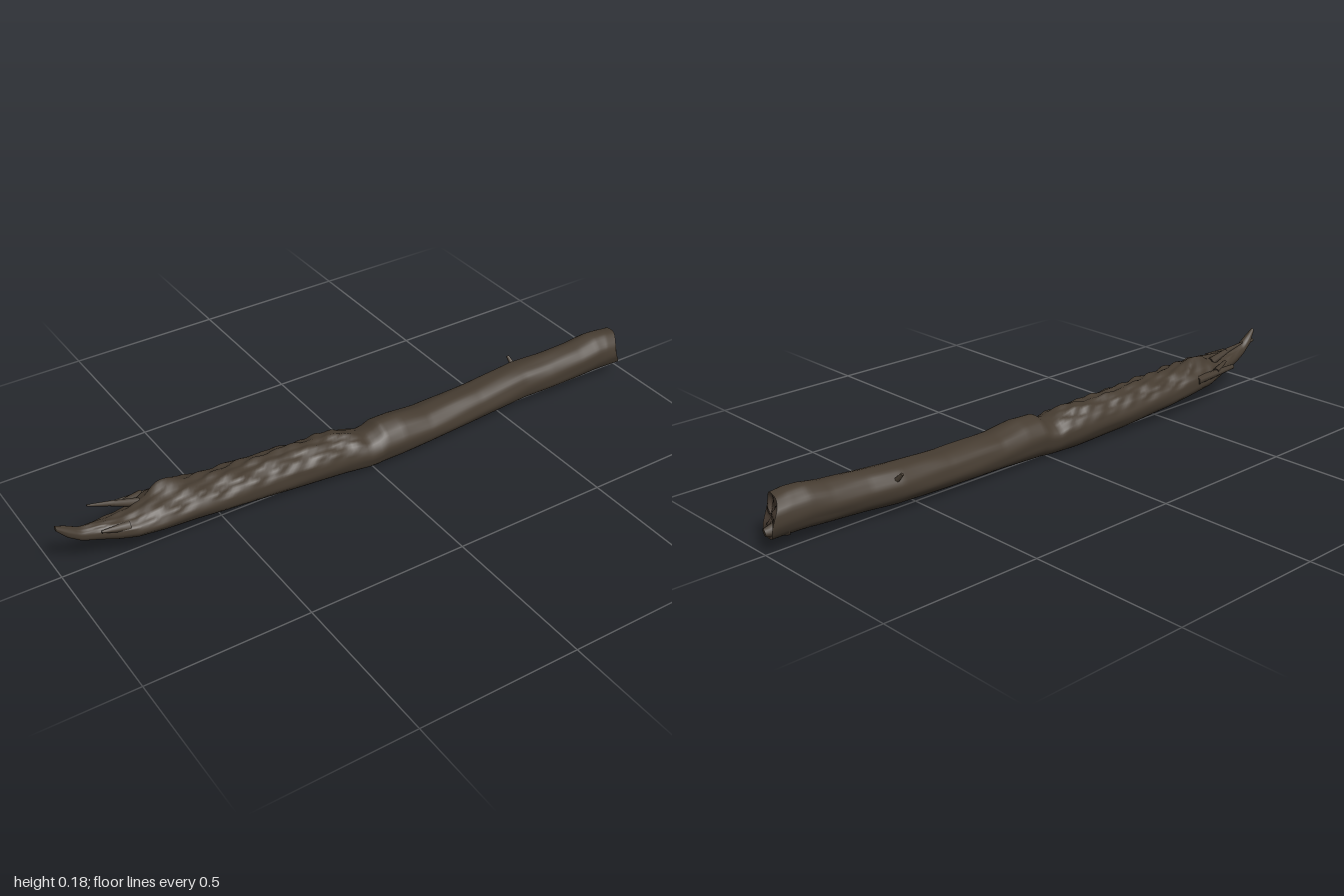
import * as THREE from 'three';

// Stations along the log: x, top y, bottom y, back z, front z
const stations = [
  [-1, 0.188, 0.172, 0.0, 0.014],
  [-0.97, 0.172, 0.135, -0.012, 0.018],
  [-0.93, 0.148, 0.106, -0.018, 0.02],
  [-0.88, 0.142, 0.088, -0.03, 0.025],
  [-0.83, 0.14, 0.076, -0.042, 0.045],
  [-0.78, 0.142, 0.067, -0.055, 0.06],
  [-0.7, 0.152, 0.055, -0.08, 0.065],
  [-0.6, 0.155, 0.043, -0.086, 0.062],
  [-0.5, 0.15, 0.031, -0.084, 0.06],
  [-0.3, 0.144, 0.014, -0.077, 0.06],
  [-0.1, 0.139, 0.004, -0.07, 0.07],
  [-0.05, 0.13, 0.003, -0.064, 0.076],
  [-0.02, 0.117, 0.003, -0.06, 0.079],
  [0.01, 0.124, 0.003, -0.056, 0.081],
  [0.03, 0.138, 0.004, -0.054, 0.082],
  [0.1, 0.139, 0.006, -0.054, 0.084],
  [0.2, 0.126, 0.011, -0.054, 0.081],
  [0.4, 0.13, 0.016, -0.057, 0.069],
  [0.58, 0.143, 0.024, -0.062, 0.062],
  [0.68, 0.147, 0.029, -0.05, 0.07],
  [0.8, 0.155, 0.034, -0.045, 0.074],
  [0.87, 0.166, 0.038, -0.042, 0.075],
  [0.95, 0.165, 0.038, -0.038, 0.077],
  [1, 0.16, 0.037, -0.036, 0.078],
];
const SIDES = 44;
const { lerp, smoothstep } = THREE.MathUtils;

function sectionAt(x) {
  let i = 0;
  while (i < stations.length - 2 && x > stations[i + 1][0]) i++;
  const a = stations[i], b = stations[i + 1];
  const t = (x - a[0]) / (b[0] - a[0]);
  return a.map((v, k) => lerp(v, b[k], t));
}

// Point on the bark at position x and angle a (0 = front, PI/2 = top)
function barkPoint(x, a) {
  const [, top, bottom, back, front] = sectionAt(x);
  const c = Math.cos(a), s = Math.sin(a);
  // Long shallow grain, with rougher torn wood on the upper left half
  const torn = smoothstep(s, 0.1, 0.8) * (1 - smoothstep(x, -0.08, 0)) * smoothstep(x, -1, -0.85);
  const grain = 0.014 * Math.sin(5 * a + 7 * x) + 0.011 * Math.sin(9 * a - 11 * x + 1)
    + 0.008 * Math.sin(3 * a + 31 * x);
  const rough = 0.045 * Math.sin(13 * a + 9 * Math.sin(6 * x)) + 0.035 * Math.sin(47 * x + 4 * a)
    + 0.025 * Math.sin(97 * x - 7 * a);
  const k = 1 + (s < -0.5 ? 0.3 : 1) * grain + torn * (rough - 0.03);
  const ry = (top - bottom) / 2, rz = (front - back) / 2;
  // Raised torn crest near the left end
  const crest = 0.028 * Math.exp(-(((x + 0.65) / 0.055) ** 2) - ((a - 1.95) / 0.35) ** 2);
  const y = (top + bottom) / 2 + ry * s * k + crest;
  const z = (front + back) / 2 + rz * c * k;
  // The right end is cut on a slant
  const cut = smoothstep(x, 0.85, 1)
    * (0.045 * (z + 0.036) / 0.114 + 0.025 * (y - 0.037) / 0.123 + 0.006 * Math.sin(3 * a + 1));
  return new THREE.Vector3(x - cut, y, z);
}

// Closed tube surface from rows of points
function loft(rows, sides, point) {
  const pos = [], index = [];
  for (let i = 0; i <= rows; i++) {
    for (let j = 0; j < sides; j++) pos.push(...point(i / rows, (j / sides) * Math.PI * 2).toArray());
  }
  for (let i = 0; i < rows; i++) {
    for (let j = 0; j < sides; j++) {
      const a = i * sides + j, b = i * sides + ((j + 1) % sides);
      index.push(a, a + sides, b + sides, a, b + sides, b);
    }
  }
  const g = new THREE.BufferGeometry();
  g.setAttribute('position', new THREE.Float32BufferAttribute(pos, 3));
  g.setIndex(index);
  g.computeVertexNormals();
  return g;
}

export function createModel() {
  const group = new THREE.Group();
  const bark = new THREE.MeshStandardMaterial({ color: 0x463c31 });
  const cutWood = new THREE.MeshStandardMaterial({ color: 0x493d33 });
  bark.name = 'bark';
  cutWood.name = 'cutWood';
  const add = (name, geometry, material) => {
    const mesh = new THREE.Mesh(geometry, material);
    mesh.name = name;
    group.add(mesh);
  };

  // Log body
  add('trunk', loft(180, SIDES, (u, a) => barkPoint(-1 + 2 * u, a)), bark);

  // Uneven broken faces at both ends
  const endFace = (x, dir) => {
    const centre = new THREE.Vector3();
    for (let j = 0; j < SIDES; j++) centre.addScaledVector(barkPoint(x, (j / SIDES) * Math.PI * 2), 1 / SIDES);
    return loft(8, SIDES, (u, a) => {
      const t = dir > 0 ? u : 1 - u;
      const p = barkPoint(x, a).lerp(centre, t);
      if (dir > 0) p.x += Math.sin(t * Math.PI) * (0.006 * Math.sin(3 * a) + 0.004 * Math.sin(7 * a + 5 * t)) - 0.006 * t;
      return p;
    });
  };
  add('cutEnd', endFace(1, 1), cutWood);
  add('tipEnd', endFace(-1, -1), bark);

  // Splinters and twig stub: base, tip, base radius, tip radius
  const up = new THREE.Vector3(0, 1, 0);
  const splinter = (name, from, to, r0, r1) => {
    const a = new THREE.Vector3(...from), b = new THREE.Vector3(...to);
    const d = b.clone().sub(a);
    const g = new THREE.CylinderGeometry(r1, r0, d.length(), 7, 3);
    g.applyQuaternion(new THREE.Quaternion().setFromUnitVectors(up, d.normalize()));
    g.translate(...a.add(b).multiplyScalar(0.5).toArray());
    add(name, g, bark);
  };
  splinter('upperSplinter', [-0.74, 0.135, -0.03], [-0.82, 0.16, -0.036], 0.014, 0.008);
  splinter('upperSplinterTip', [-0.81, 0.158, -0.035], [-0.885, 0.175, -0.045], 0.009, 0.003);
  splinter('backSplinter', [-0.62, 0.11, -0.074], [-0.79, 0.12, -0.082], 0.016, 0.008);
  splinter('backSplinterTip', [-0.71, 0.12, -0.078], [-0.78, 0.135, -0.058], 0.012, 0.005);
  splinter('frontSplinter', [-0.8, 0.12, 0.035], [-0.88, 0.132, 0.032], 0.016, 0.004);
  splinter('tipFork', [-0.93, 0.13, 0.005], [-0.985, 0.155, -0.008], 0.014, 0.005);
  splinter('twigStub', [0.6, 0.115, -0.05], [0.595, 0.135, -0.068], 0.008, 0.005);
  splinter('cutEndSplinter', [0.93, 0.07, 0.0], [0.99, 0.06, 0.015], 0.03, 0.012);

  return group;
}
